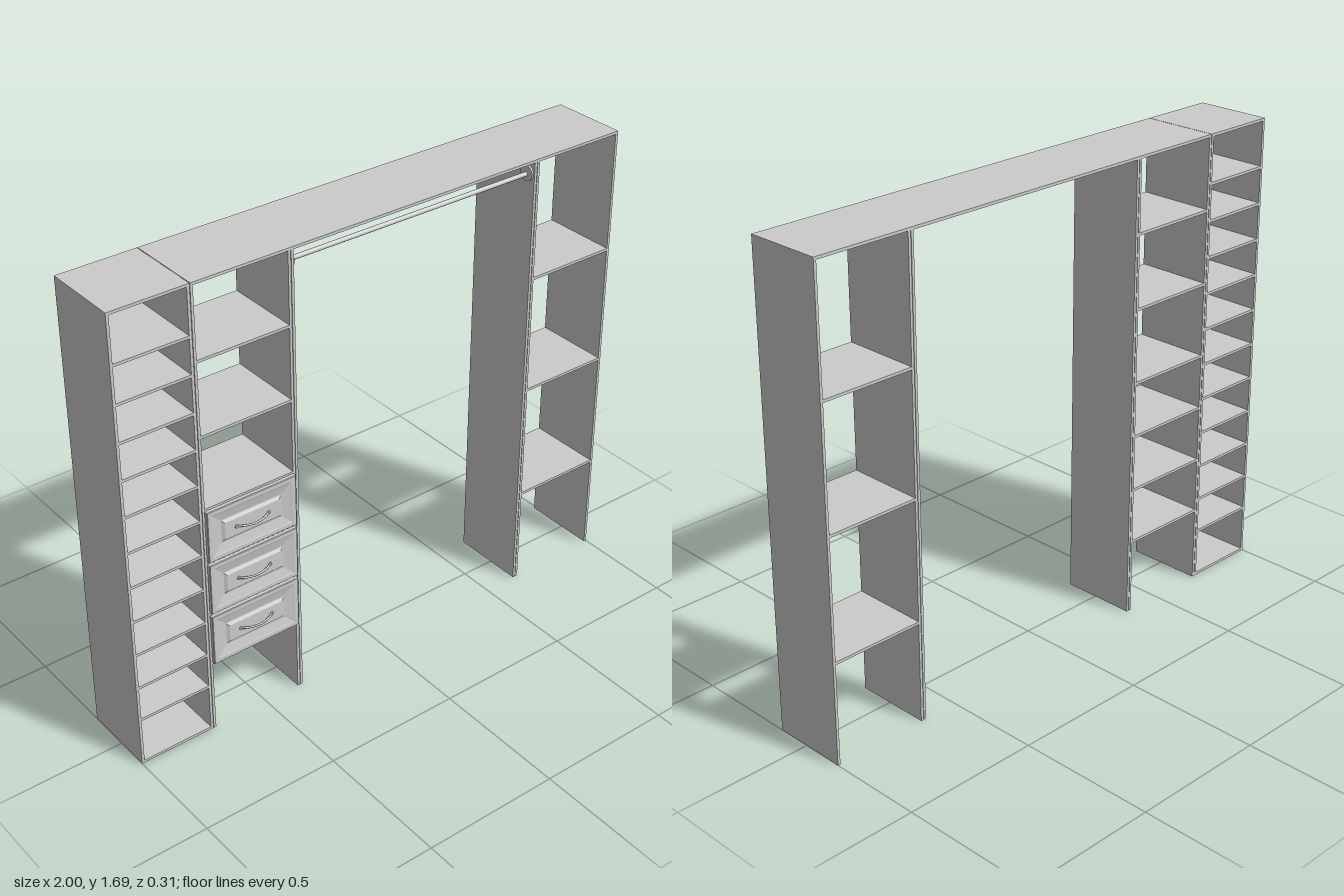
import * as THREE from 'three';

const BACK = -0.155, FRONT = 0.125, TOP = 1.69, T = 0.01;
const DEPTH = FRONT - BACK, MID = (FRONT + BACK) / 2;

export function createModel() {
  const root = new THREE.Group();
  root.name = 'closetOrganizer';
  const mat = new THREE.MeshStandardMaterial({ color: 0xcccccc });

  function add(parent, geo, name, x, y, z) {
    const mesh = new THREE.Mesh(geo, mat);
    mesh.name = name;
    mesh.position.set(x, y, z);
    parent.add(mesh);
    return mesh;
  }
  const board = (name, x0, x1, y0, y1) =>
    add(root, new THREE.BoxGeometry(x1 - x0, y1 - y0, DEPTH), name, (x0 + x1) / 2, (y0 + y1) / 2, MID);

  // Uprights: single outer sides, doubled where two units meet
  board('outerSideRight', -1, -0.99, 0, TOP - T);
  board('outerSideLeft', 0.99, 1, 0, TOP - T);
  for (const x of [-0.717, -0.356, 0.637]) {
    board('divider', x - 0.0105, x - 0.001, 0, TOP - T);
    board('divider', x + 0.001, x + 0.0105, 0, TOP - T);
  }

  // Top boards, one for each unit
  const seams = [-1, -0.717, -0.356, 0.637, 1];
  for (let i = 0; i < 4; i++) {
    board('topBoard', seams[i] + (i === 1 ? 0.002 : 0), seams[i + 1], TOP - T, TOP);
  }

  // Shelves
  for (let i = 0; i < 11; i++) {
    const y = 0.183 + i * 0.1331;
    board('shoeShelf', -0.99, -0.7275, y - T / 2, y + T / 2);
  }
  board('bottomBoard', -0.99, -0.7275, 0, T);
  for (const y of [1.422, 1.155, 0.885, 0.685, 0.48, 0.275]) {
    board('drawerUnitShelf', -0.7065, -0.3665, y - T / 2, y + T / 2);
  }
  for (const y of [1.248, 0.808, 0.368]) {
    board('wideShelf', 0.6475, 0.99, y - T / 2, y + T / 2);
  }

  // Hanging rod with end flanges
  const rod = new THREE.Group();
  rod.name = 'hangingRod';
  root.add(rod);
  add(rod, new THREE.CylinderGeometry(0.008, 0.008, 0.973, 20), 'rod', 0.14, 1.63, 0.09).rotation.z = Math.PI / 2;
  for (const x of [-0.342, 0.623]) {
    add(rod, new THREE.CylinderGeometry(0.028, 0.028, 0.007, 24), 'rodFlange', x, 1.635, 0.092).rotation.z = Math.PI / 2;
  }

  // Drawer fronts with a raised field, and bowed pulls
  const face = panelGeometry(0.343, 0.194, [
    [0, 0], [0, 0.012], [0.002, 0.014], [0.016, 0.014], [0.022, 0.012],
    [0.052, 0.006], [0.056, 0.006], [0.066, 0.012],
  ]);
  const pull = new THREE.TubeGeometry(new THREE.CatmullRomCurve3([
    new THREE.Vector3(-0.062, 0, 0), new THREE.Vector3(-0.045, 0, 0.011),
    new THREE.Vector3(-0.022, -0.002, 0.017), new THREE.Vector3(0, -0.003, 0.019),
    new THREE.Vector3(0.022, -0.002, 0.017), new THREE.Vector3(0.045, 0, 0.011),
    new THREE.Vector3(0.062, 0, 0),
  ]), 28, 0.0035, 8);
  for (const y of [0.785, 0.58, 0.375]) {
    const drawer = new THREE.Group();
    drawer.name = 'drawer';
    drawer.position.set(-0.5365, y, FRONT);
    root.add(drawer);
    add(drawer, face, 'drawerFront', 0, 0, 0);
    add(drawer, pull, 'drawerPull', 0, 0, 0.0115);
    for (const s of [-1, 1]) {
      add(drawer, new THREE.CylinderGeometry(0.006, 0.007, 0.004, 12), 'pullFoot', s * 0.062, 0, 0.0135).rotation.x = Math.PI / 2;
    }
  }
  return root;
}

// Panel from nested rectangles, each given as [inset, z]
function panelGeometry(w, h, profile) {
  const pos = [];
  const ring = ([inset, z]) => {
    const a = w / 2 - inset, b = h / 2 - inset;
    return [[-a, -b, z], [a, -b, z], [a, b, z], [-a, b, z]];
  };
  const quad = (a, b, c, d) => pos.push(...a, ...b, ...c, ...a, ...c, ...d);
  const rings = profile.map(ring);
  for (let i = 0; i + 1 < rings.length; i++) {
    for (let k = 0; k < 4; k++) {
      const n = (k + 1) % 4;
      quad(rings[i][k], rings[i][n], rings[i + 1][n], rings[i + 1][k]);
    }
  }
  quad(...rings[rings.length - 1]);
  quad(...[...rings[0]].reverse());
  const geo = new THREE.BufferGeometry();
  geo.setAttribute('position', new THREE.Float32BufferAttribute(pos, 3));
  geo.computeVertexNormals();
  return geo;
}
